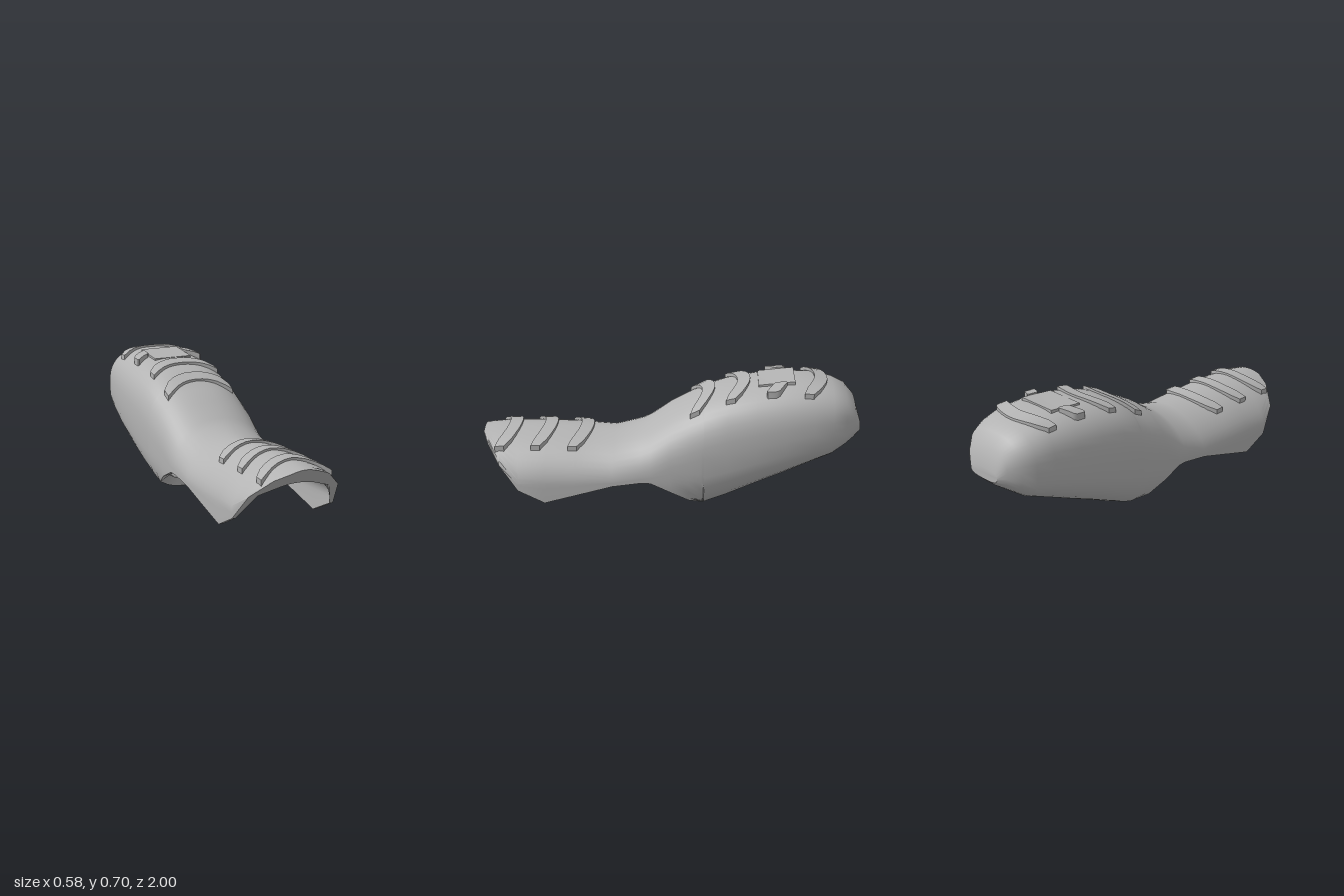
import * as THREE from 'three';
import { toCreasedNormals } from 'three/addons/utils/BufferGeometryUtils.js';

const { clamp, mapLinear } = THREE.MathUtils;

// Cross-sections, front to back: z, top, widest height, bottom, half width, cut height
const SECTIONS = [
  [1.0, 0.388, 0.17, -0.3, 0.28, 0.376],
  [0.97, 0.393, 0.17, -0.3, 0.28, 0.345],
  [0.9, 0.4, 0.17, -0.3, 0.282, 0.26],
  [0.8, 0.405, 0.17, -0.3, 0.285, 0.13],
  [0.66, 0.405, 0.17, -0.3, 0.285, 0.06],
  [0.5, 0.4, 0.175, -0.3, 0.285, 0.105],
  [0.3, 0.382, 0.185, -0.3, 0.283, 0.16],
  [0.15, 0.415, 0.21, -0.25, 0.28, 0.18],
  [0.1, 0.44, 0.22, -0.2, 0.28, 0.178],
  [0, 0.51, 0.27, -0.1, 0.283, 0.13],
  [-0.1, 0.562, 0.3, -0.03, 0.286, 0.07],
  [-0.165, 0.59, 0.32, 0, 0.288, 0.025],
  [-0.176, 0.597, 0.323, 0, 0.288, 0.01],
  [-0.18, 0.6, 0.325, 0, 0.288, 0],
  [-0.3, 0.64, 0.35, 0.05, 0.287, 0],
  [-0.45, 0.67, 0.39, 0.12, 0.284, 0],
  [-0.6, 0.685, 0.42, 0.185, 0.272, 0],
  [-0.75, 0.685, 0.45, 0.25, 0.25, 0],
  [-0.85, 0.662, 0.46, 0.29, 0.227, 0],
  [-0.92, 0.63, 0.47, 0.34, 0.195, 0],
  [-0.97, 0.57, 0.475, 0.375, 0.145, 0],
  [-1.0, 0.47, 0.44, 0.405, 0.1, 0],
];
const LOW_POWER = 3;
const TOP_STEPS = 22;
const LOW_STEPS = 8;
const LAST = TOP_STEPS + 2 * LOW_STEPS;

// The crown has sloping shoulders at the front and is squarer at the back
const topPower = z => clamp(mapLinear(z, 0.3, -0.3, 1.75, 2.7), 1.75, 2.7);

// The side walls thicken towards the back
const wallThickness = z => clamp(mapLinear(z, 0.85, -0.2, 0.018, 0.075), 0.018, 0.075);

// Section values at any z
function sectionAt(z) {
  let i = 0;
  while (i < SECTIONS.length - 2 && SECTIONS[i + 1][0] > z) i++;
  const a = SECTIONS[i], b = SECTIONS[i + 1];
  const t = clamp((z - a[0]) / (b[0] - a[0]), 0, 1);
  return a.map((v, k) => v + (b[k] - v) * t);
}

// Height of the outer skin above a point
function skinHeight(x, z) {
  const [, top, mid, , w] = sectionAt(z);
  const r = Math.min(1, Math.abs(x) / w);
  const p = topPower(z);
  return mid + (top - mid) * Math.pow(1 - Math.pow(r, p), 1 / p);
}

const signedPow = (v, p) => Math.sign(v) * Math.pow(Math.abs(v), p);

// One arch, from the left edge over the top to the right edge
function ring(z, inner) {
  const zz = inner ? clamp(z, -0.93, 0.93) : z;
  let [, top, mid, bottom, w, cut] = sectionAt(zz);
  if (inner) {
    top -= 0.09;
    bottom += 0.04;
    w -= wallThickness(zz);
    cut += 0.04 * clamp((0.1 - zz) / 0.28, 0, 1);
  }
  const upper = topPower(zz) + (inner ? 0.2 : 0);
  const s = clamp((cut - mid) / (cut > mid ? top - mid : mid - bottom), -1, 1);
  const start = Math.asin(signedPow(s, (s > 0 ? upper : LOW_POWER) / 2));
  const shoulder = Math.max(start, 0);
  const points = [];
  for (let i = 0; i <= LAST; i++) {
    // Side walls below the widest line, crown above it
    const j = Math.min(i, LAST - i);
    let a = j < LOW_STEPS
      ? start + (shoulder - start) * j / LOW_STEPS
      : shoulder + (Math.PI - 2 * shoulder) * (j - LOW_STEPS) / TOP_STEPS;
    if (i !== j) a = Math.PI - a;
    const sn = Math.sin(a);
    const power = sn > 0 ? upper : LOW_POWER;
    const h = sn > 0 ? top - mid : mid - bottom;
    points.push([w * signedPow(Math.cos(a), 2 / power), mid + h * signedPow(sn, 2 / power), zz]);
  }
  return points;
}

// Joins equal rows of points into a surface
function loft(rows, flip = false, crease = 0.6) {
  const n = rows[0].length;
  const index = [];
  for (let j = 0; j < rows.length - 1; j++) {
    for (let i = 0; i < n - 1; i++) {
      const a = j * n + i, b = a + 1, c = a + n, d = c + 1;
      if (flip) index.push(a, b, c, b, d, c);
      else index.push(a, c, b, b, c, d);
    }
  }
  const geo = new THREE.BufferGeometry();
  geo.setAttribute('position', new THREE.Float32BufferAttribute(rows.flat(2), 3));
  geo.setIndex(index);
  return toCreasedNormals(geo, crease);
}

// Lace band draped over the skin, bowing forward and lifting at its ends
function laceBand(zMid, from, to, endLift = 0.015) {
  const rows = [];
  const count = 10;
  for (let i = 0; i <= count; i++) {
    const x = from + (to - from) * i / count;
    const bow = (x / 0.2) ** 2;
    const z = zMid + 0.075 * bow;
    const half = i === 0 || i === count ? 0.024 : 0.034;
    const point = (dz, lift) => [x, skinHeight(x, z + dz) + lift, z + dz];
    const lift = 0.012 + endLift * bow;
    const loop = [point(-half, -0.02), point(-half, lift), point(half, lift), point(half, -0.02), point(-half, -0.02)];
    const cap = loop.map(() => point(0, 0));
    if (i === 0) rows.push(cap);
    rows.push(loop);
    if (i === count) rows.push(cap);
  }
  return loft(rows, false, 0.5);
}

export function createModel() {
  const model = new THREE.Group();
  model.name = 'shoeShell';
  const grey = new THREE.MeshStandardMaterial({ color: 0xb3b3b3, side: THREE.DoubleSide });
  grey.name = 'plainGrey';
  const add = (name, geo) => {
    const mesh = new THREE.Mesh(geo, grey);
    mesh.name = name;
    model.add(mesh);
  };

  // Outer skin and inner lining, each closed at the back
  const outer = SECTIONS.map(s => ring(s[0], false));
  const inner = SECTIONS.map(s => ring(s[0], true));
  const close = (rows, y, z) => [...rows, rows[0].map(() => [0, y, z])];
  add('outerSkin', loft(close(outer, 0.44, -1)));
  add('innerLining', loft(close(inner, 0.45, -0.93), true));

  // Thick rim around the opening: both sides and the front lip
  const mouth = SECTIONS.findIndex(s => s[0] === -0.18) + 1;
  const edge = (rows, i) => rows.slice(0, mouth).map(r => r[i]);
  add('leftRim', loft([edge(outer, 0), edge(inner, 0)], true));
  add('rightRim', loft([edge(outer, LAST), edge(inner, LAST)]));
  add('frontRim', loft([outer[0], inner[0]], true));

  // Laces
  for (const z of [0.83, 0.64, 0.445, -0.2, -0.385, -0.79]) {
    add('laceBand', laceBand(z, -0.195, 0.195));
  }
  for (const side of [-1, 1]) {
    add('laceEnd', laceBand(-0.6, side > 0 ? 0.11 : -0.195, side > 0 ? 0.195 : -0.11, 0.025));
  }

  // Faceted dish between the lace ends
  const corner = (x, z, lift) => [x, skinHeight(x, z) + lift, z];
  const rim = [[-0.11, -0.65], [-0.11, -0.46], [0.11, -0.46], [0.11, -0.65], [-0.11, -0.65]];
  add('laceDish', loft([
    rim.map(([x, z]) => corner(x, z, -0.01)),
    rim.map(([x, z]) => corner(x, z, z < -0.6 ? 0.018 : 0.01)),
    rim.map(() => corner(0, -0.58, 0.002)),
  ], true, 0.1));

  return model;
}
